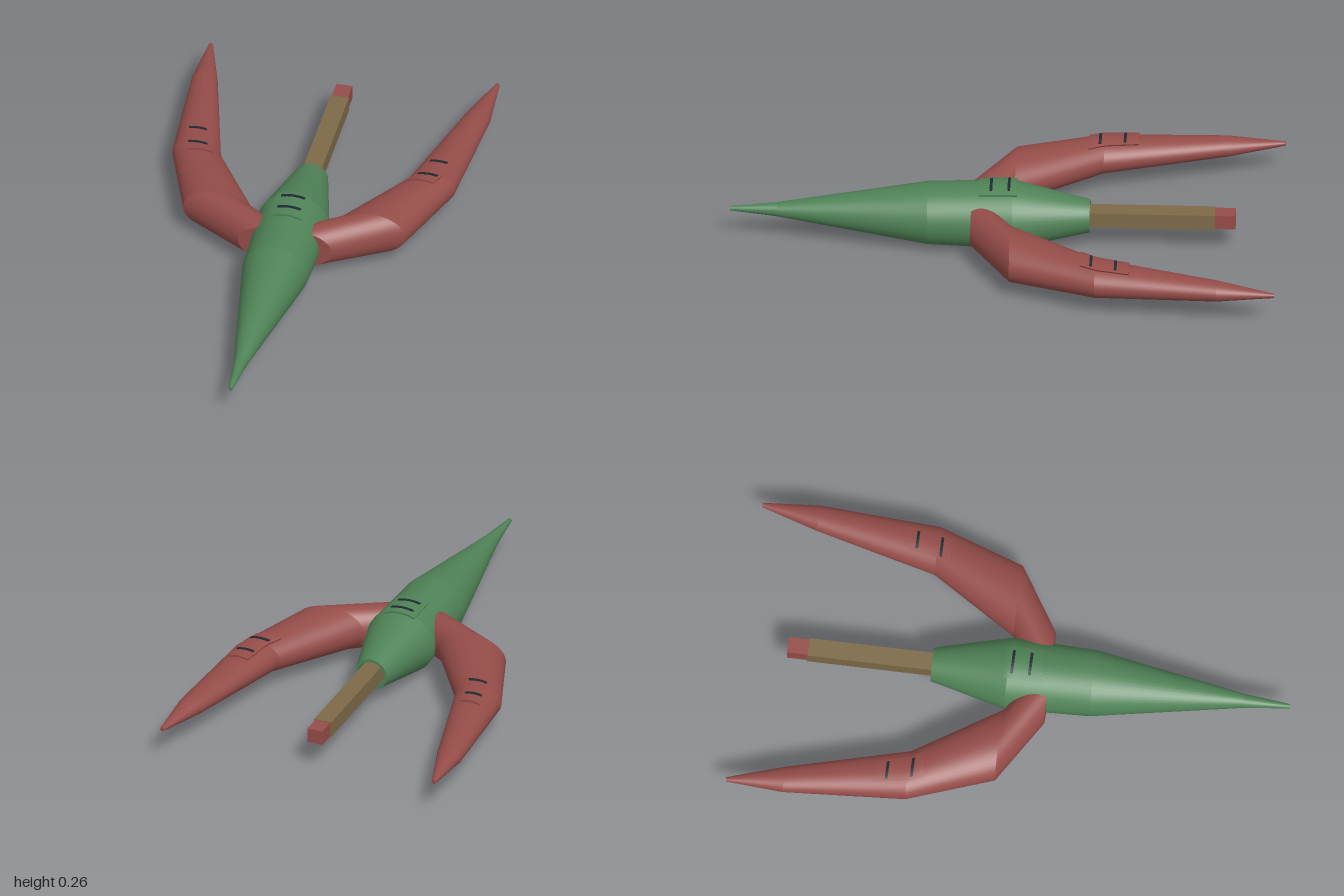
import * as THREE from 'three';
import { toCreasedNormals, mergeGeometries } from 'three/addons/utils/BufferGeometryUtils.js';

const CY = 0.126; // height of the centre line
const SIDES = 40;

// Point on an elliptical section [z, centreX, radiusX, radiusY]; angle 0 is the top
const ringPoint = ([z, cx, rx, ry], a, lift = 0) =>
  [cx + (rx + lift) * Math.sin(a), CY + (ry + lift) * Math.cos(a), z];

// Section interpolated at a given z
function sectionAt(sections, z) {
  let i = 0;
  while (i < sections.length - 2 && sections[i + 1][0] < z) i++;
  const p = sections[i], q = sections[i + 1];
  const t = (z - p[0]) / (q[0] - p[0]);
  return p.map((v, k) => v + (q[k] - v) * t);
}

function makeGeometry(points, index) {
  const g = new THREE.BufferGeometry();
  g.setAttribute('position', new THREE.Float32BufferAttribute(points.flat(), 3));
  g.setIndex(index);
  g.computeVertexNormals();
  return g;
}

// Closed hull through the sections: smooth around, creased at every section
function loft(sections) {
  const parts = [];
  const ring = (s) => Array.from({ length: SIDES }, (_, j) => ringPoint(s, (j / SIDES) * Math.PI * 2));
  for (let i = 0; i < sections.length - 1; i++) {
    const index = [];
    for (let j = 0; j < SIDES; j++) {
      const k = (j + 1) % SIDES;
      index.push(j, SIDES + j, SIDES + k, j, SIDES + k, k);
    }
    parts.push(makeGeometry([...ring(sections[i]), ...ring(sections[i + 1])], index));
  }
  // End caps
  for (const [s, front] of [[sections[0], false], [sections.at(-1), true]]) {
    const index = [];
    for (let j = 0; j < SIDES; j++) {
      const k = (j + 1) % SIDES;
      index.push(SIDES, ...(front ? [k, j] : [j, k]));
    }
    parts.push(makeGeometry([...ring(s), [s[1], CY, s[0]]], index));
  }
  return mergeGeometries(parts);
}

// Raised plate wrapped over the top of a hull, with skirts down to the surface
function plate(sections, z0, z1, halfAngle, base, lift) {
  const nu = 10, nv = 8, points = [], index = [];
  for (let i = 0; i <= nu; i++) {
    for (let j = 0; j <= nv; j++) {
      const border = i === 0 || j === 0 || i === nu || j === nv;
      const u = THREE.MathUtils.clamp((i - 1) / (nu - 2), 0, 1);
      const v = THREE.MathUtils.clamp((j - 1) / (nv - 2), 0, 1);
      const section = sectionAt(sections, z0 + (z1 - z0) * u);
      points.push(ringPoint(section, (v * 2 - 1) * halfAngle, border ? base : lift));
      if (i < nu && j < nv) {
        const a = i * (nv + 1) + j, b = a + nv + 1;
        index.push(a, b, b + 1, a, b + 1, a + 1);
      }
    }
  }
  return toCreasedNormals(makeGeometry(points, index), 0.6);
}

export function createModel() {
  const model = new THREE.Group();
  model.name = 'swept wing craft';
  const material = (name, color) => {
    const m = new THREE.MeshStandardMaterial({ color });
    m.name = name;
    return m;
  };
  const green = material('hull green', 0x4f8256);
  const red = material('wing red', 0x944c48);
  const brown = material('boom brown', 0x7c6948);
  const dark = material('vent dark', 0x202a33);

  const add = (name, geometry, mat, parent = model) => {
    const mesh = new THREE.Mesh(geometry, mat);
    mesh.name = name;
    parent.add(mesh);
    return mesh;
  };

  // Hatch plate with two dark slots
  const hatch = (name, sections, z0, z1, angle, slots, slotAngle, mat) => {
    const group = new THREE.Group();
    group.name = name;
    add(name + 'Plate', plate(sections, z0, z1, angle, -0.002, 0.008), mat, group);
    for (const z of slots) {
      add(name + 'Slot', plate(sections, z - 0.005, z + 0.005, slotAngle, 0.006, 0.011), dark, group);
    }
    model.add(group);
  };

  // Spindle body with a pointed nose and a hollow tail
  const hull = [
    [-0.31, 0, 0.062, 0.06],
    [-0.03, 0, 0.132, 0.124],
    [0.28, 0, 0.122, 0.113],
    [0.83, 0, 0.026, 0.026],
    [1, 0, 0.008, 0.008],
  ];
  const tailRecess = [[-0.25, 0, 0.052, 0.05], [-0.31, 0, 0.052, 0.05]];
  add('body', loft([...tailRecess, ...hull]), green);
  hatch('bodyHatch', hull, -0.045, 0.095, 0.47, [-0.015, 0.05], 0.32, green);

  // Mirrored swept-back wings
  for (const [side, s] of [['left', 1], ['right', -1]]) {
    const wing = [
      [-1, s * 0.535, 0.008, 0.008],
      [-0.79, s * 0.509, 0.048, 0.035],
      [-0.345, s * 0.437, 0.091, 0.063],
      [-0.03, s * 0.28, 0.135, 0.086],
      [0.12, s * 0.045, 0.13, 0.077],
    ];
    add(side + 'Wing', loft(wing), red);
    hatch(side + 'WingHatch', wing, -0.47, -0.29, 0.48, [-0.42, -0.33], 0.36, red);
  }

  // Square tail boom with a red tip
  add('tailBoom', new THREE.BoxGeometry(0.068, 0.06, 0.52), brown).position.set(0, CY, -0.505);
  add('boomTip', new THREE.BoxGeometry(0.06, 0.055, 0.075), red).position.set(0, CY, -0.8025);

  return model;
}
